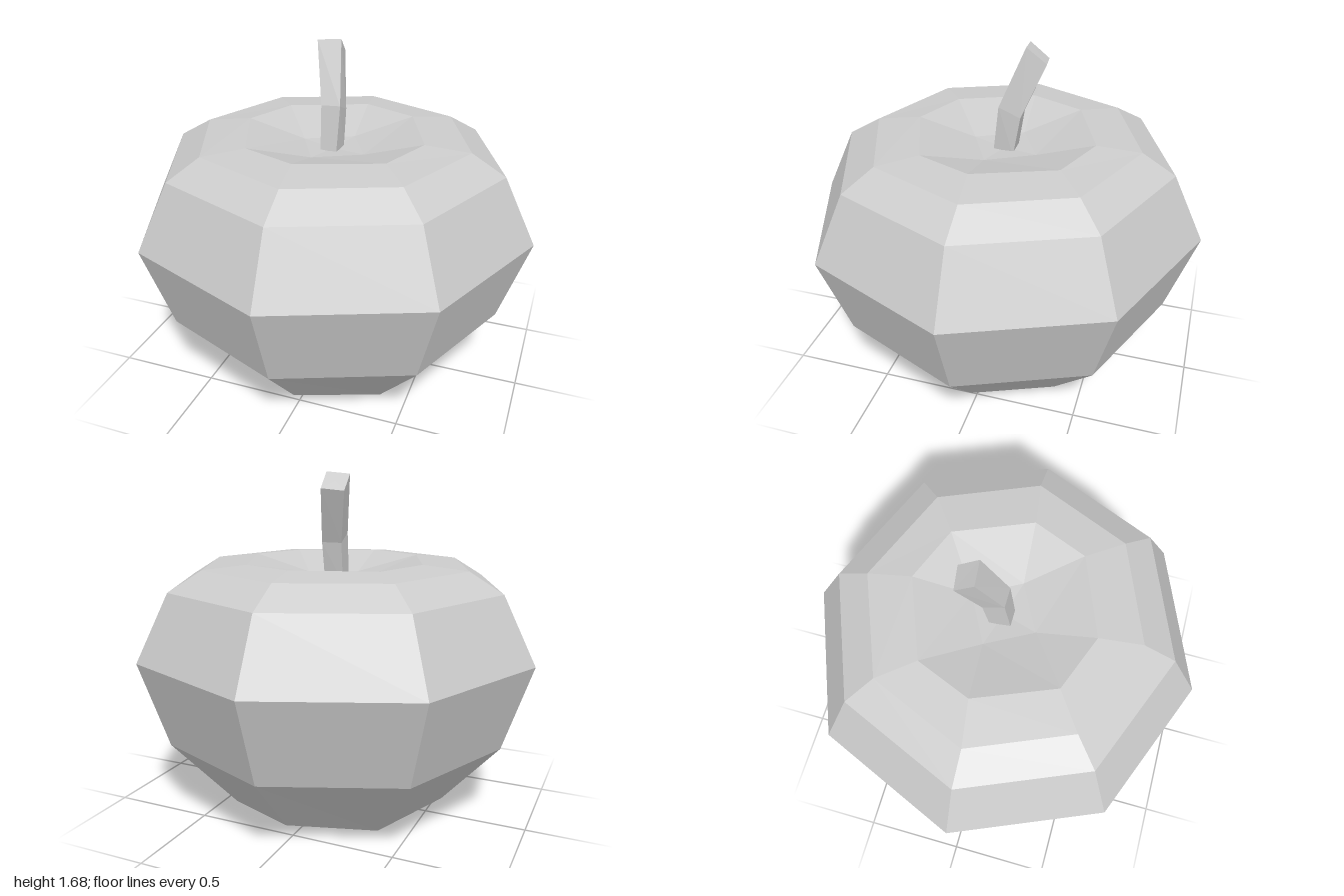
import * as THREE from 'three';

// Skin a stack of closed rings (bottom to top), leaving out collapsed triangles
function loft(rings) {
  const pos = [];
  const tri = (a, b, c) => {
    if (a.distanceTo(b) > 1e-5 && b.distanceTo(c) > 1e-5 && c.distanceTo(a) > 1e-5) {
      for (const p of [a, b, c]) pos.push(p.x, p.y, p.z);
    }
  };
  for (let i = 0; i < rings.length - 1; i++) {
    const low = rings[i], high = rings[i + 1], n = low.length;
    for (let j = 0; j < n; j++) {
      const k = (j + 1) % n;
      tri(low[j], high[k], low[k]);
      tri(low[j], high[j], high[k]);
    }
  }
  const geometry = new THREE.BufferGeometry();
  geometry.setAttribute('position', new THREE.Float32BufferAttribute(pos, 3));
  geometry.computeVertexNormals();
  return geometry;
}

// Eight-sided ring; even corners lie on the axes, odd ones on the diagonals.
// Each corner is [radius, height, twist in degrees].
function ring(even, odd = even) {
  return Array.from({ length: 8 }, (_, j) => {
    const [r, y, twist = 0] = j % 2 ? odd : even;
    const a = THREE.MathUtils.degToRad(j * 45 + twist);
    return new THREE.Vector3(r * Math.cos(a), y, 0.98 * r * Math.sin(a));
  });
}

export function createModel() {
  const group = new THREE.Group();
  const material = new THREE.MeshStandardMaterial({ color: 0xcccccc, flatShading: true });
  const add = (name, rings) => {
    const mesh = new THREE.Mesh(loft(rings), material);
    mesh.name = name;
    group.add(mesh);
  };

  // Squat faceted fruit with a dimple in the top
  add('fruitBody', [
    ring([0, 0]),
    ring([0.58, 0.085], [0.54, 0.045]),
    ring([0.86, 0.395]),
    ring([1, 0.815]),
    ring([0.84, 1.14]),
    ring([0.675, 1.237]),
    ring([0.46, 1.26, 4], [0.465, 1.257, -4]),
    ring([0.18, 1.18, 17], [0.18, 1.18, -28]), // pairs meet: four-cornered dimple floor
    ring([0, 1.17]),
  ]);

  // Bent four-sided stem: back right, front right, front left, back left
  const sections = [
    [[0.035, 1.15, -0.05], [0.03, 1.15, 0.05], [-0.05, 1.15, 0.05], [-0.06, 1.15, -0.05]],
    [[0.035, 1.35, -0.085], [0.04, 1.395, 0.02], [-0.055, 1.39, 0.02], [-0.065, 1.35, -0.08]],
    [[-0.01, 1.61, -0.195], [0.003, 1.685, -0.1], [-0.113, 1.675, -0.09], [-0.122, 1.6, -0.18]],
  ].map((s) => s.map((p) => new THREE.Vector3(...p)));
  const cap = (s) => {
    const c = s.reduce((sum, p) => sum.add(p), new THREE.Vector3()).divideScalar(s.length);
    return s.map(() => c);
  };
  add('stem', [cap(sections[0]), ...sections, cap(sections[2])]);

  return group;
}
